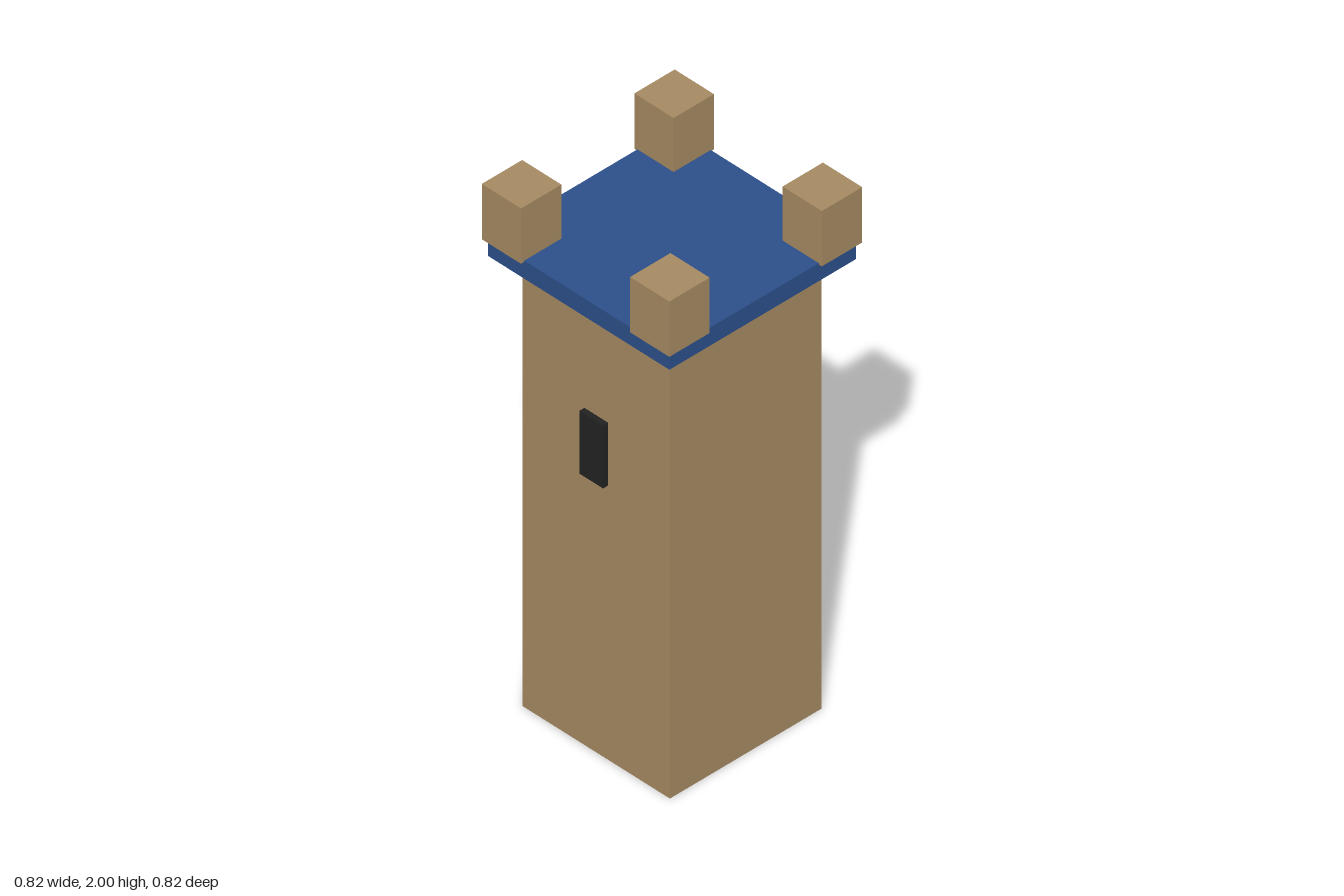
import * as THREE from 'three';

const stone = new THREE.MeshStandardMaterial({ color: 0xa58962 });
stone.name = 'sandstone';
const blue = new THREE.MeshStandardMaterial({ color: 0x2c4f8a });
blue.name = 'blue roof';
const dark = new THREE.MeshStandardMaterial({ color: 0x222222 });
dark.name = 'dark window';

// Box given by its size, bottom height and centre in x and z
function block(name, material, [w, h, d], x, bottom, z) {
  const mesh = new THREE.Mesh(new THREE.BoxGeometry(w, h, d), material);
  mesh.name = name;
  mesh.position.set(x, bottom + h / 2, z);
  return mesh;
}

export function createModel() {
  const tower = new THREE.Group();
  tower.name = 'tower';

  // Square shaft and overhanging roof slab
  tower.add(block('shaft', stone, [0.642, 1.725, 0.642], 0, 0, 0));
  tower.add(block('roofSlab', blue, [0.79, 0.069, 0.79], 0, 1.724, 0));

  // Window slit standing proud of the front wall
  tower.add(block('window', dark, [0.103, 0.241, 0.04], 0, 1.051, 0.322));

  // One merlon on each roof corner
  for (const sx of [-1, 1]) {
    for (const sz of [-1, 1]) {
      const name = (sz > 0 ? 'front' : 'back') + (sx > 0 ? 'Left' : 'Right') + 'Merlon';
      tower.add(block(name, stone, [0.171, 0.212, 0.171], sx * 0.323, 1.788, sz * 0.323));
    }
  }
  return tower;
}
